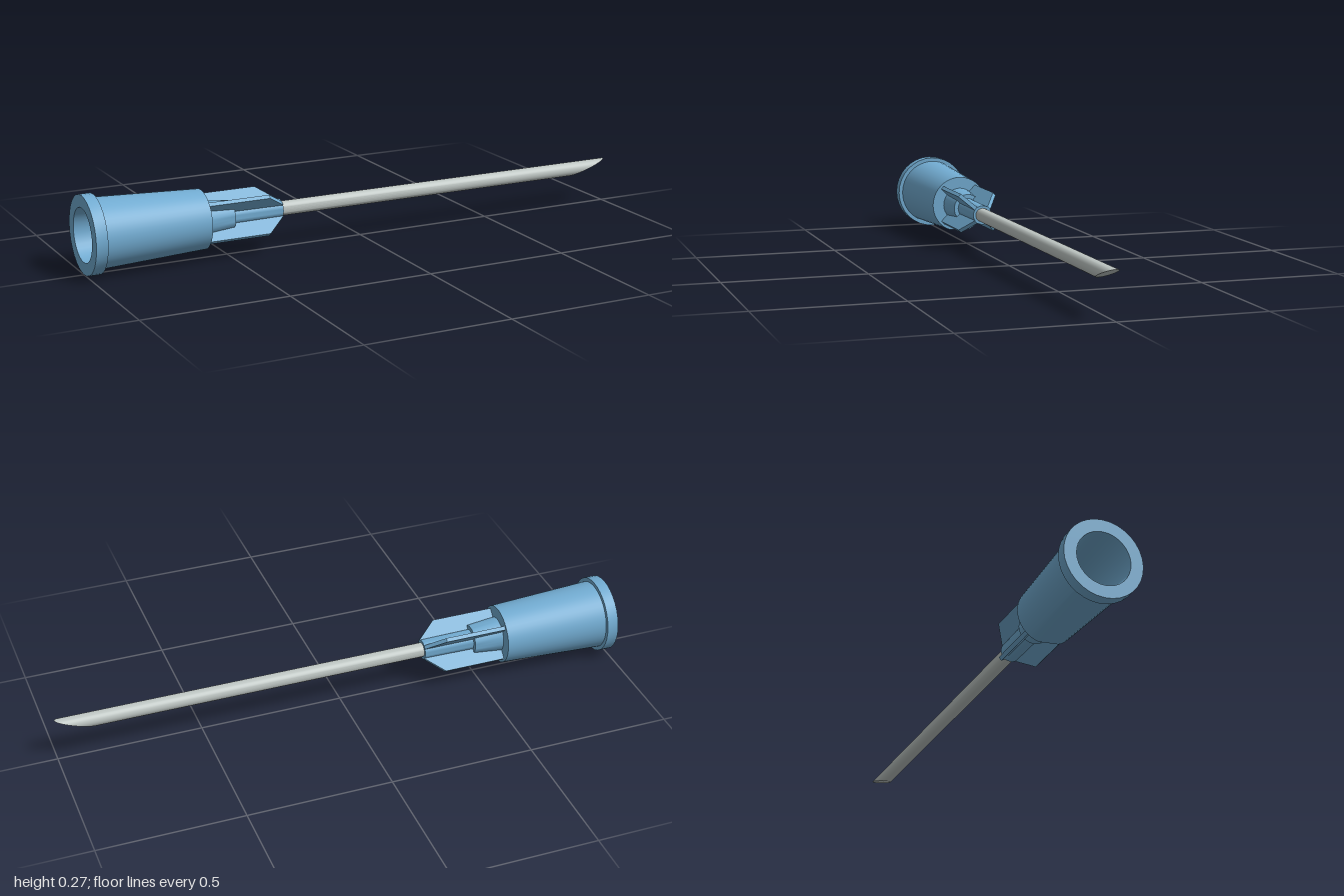
import * as THREE from 'three';
import { toCreasedNormals } from 'three/addons/utils/BufferGeometryUtils.js';

const AXIS_Y = 0.133;
const SIDES = 32;

// Turned shape along x from [x, radius] pairs
function turned(profile, sides = SIDES) {
  const g = new THREE.LatheGeometry(profile.map(([x, r]) => new THREE.Vector2(r, x)), sides);
  return g.rotateZ(-Math.PI / 2);
}

export function createModel() {
  const blue = new THREE.MeshStandardMaterial({ color: 0x72acd2 });
  blue.name = 'blue plastic';
  const steel = new THREE.MeshStandardMaterial({ color: 0xc0c8c5 });
  steel.name = 'steel';

  const model = new THREE.Group();
  model.name = 'needle';
  const axis = new THREE.Group();
  axis.name = 'needleAssembly';
  axis.position.y = AXIS_Y;
  model.add(axis);
  const add = (name, geometry, material, crease = 0.5) => {
    const mesh = new THREE.Mesh(toCreasedNormals(geometry, crease), material);
    mesh.name = name;
    axis.add(mesh);
    return mesh;
  };

  // Flange with the tapered socket bore
  add('flangeAndSocket', turned([
    [-0.62, 0], [-0.62, 0.075], [-1, 0.091], [-1, 0.133], [-0.96, 0.133], [-0.96, 0.1],
  ]), blue);

  // Tapered hub, flattened along a chord underneath
  const hub = turned([[-0.96, 0.119], [-0.59, 0.102], [-0.59, 0]], 48);
  const p = hub.attributes.position;
  for (let i = 0; i < p.count; i++) {
    const y = p.getY(i), z = p.getZ(i);
    if (Math.hypot(y, z) < 0.09) continue;
    const t = (p.getX(i) + 0.96) / 0.37;
    const za = THREE.MathUtils.lerp(0.05, 0.04, t), ya = THREE.MathUtils.lerp(-0.107, -0.093, t);
    const zb = THREE.MathUtils.lerp(-0.07, -0.03, t), yb = THREE.MathUtils.lerp(-0.095, -0.097, t);
    const limit = ya + (yb - ya) * (z - za) / (zb - za);
    if (y < limit && z < za && z > zb) p.setY(i, limit);
  }
  add('hub', hub, blue);

  // Stepped neck holding the cannula
  add('neck', turned([
    [-0.6, 0.062], [-0.487, 0.051], [-0.487, 0.036], [-0.305, 0.034], [-0.305, 0],
  ]), blue);

  // Four diagonal fins
  const finShape = new THREE.Shape([
    [-0.6, 0.02], [-0.305, 0.02], [-0.305, 0.035], [-0.37, 0.093], [-0.6, 0.093],
  ].map(([x, y]) => new THREE.Vector2(x, y)));
  const finGeometry = new THREE.ExtrudeGeometry(finShape, { depth: 0.014, bevelEnabled: false });
  finGeometry.translate(0, 0, -0.007);
  for (let i = 0; i < 4; i++) {
    add('fin' + (i + 1), finGeometry, blue).rotation.x = Math.PI / 4 + i * Math.PI / 2;
  }

  // Cannula with an obliquely cut tip
  const R = 0.025, cannula = new THREE.CylinderGeometry(R, R, 1.3, 32).rotateZ(-Math.PI / 2);
  const c = cannula.attributes.position;
  for (let i = 0; i < c.count; i++) {
    const atTip = c.getX(i) > 0;
    c.setX(i, atTip ? 0.85 + 0.15 * (c.getY(i) + R) / (2 * R) : -0.31);
  }
  add('cannula', cannula, steel);

  return model;
}
